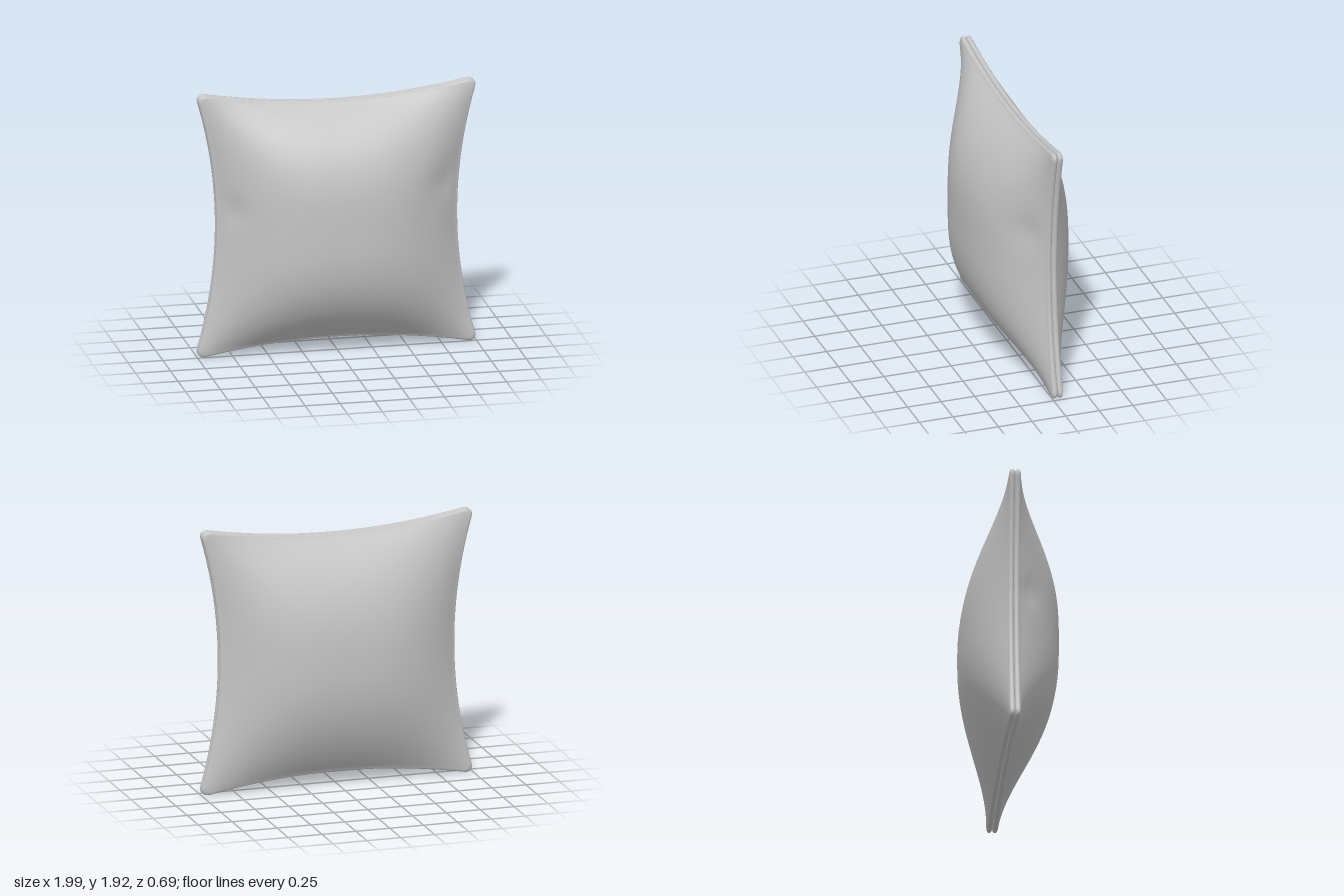
import * as THREE from 'three';

const SEAM_Z = -0.035, LIP = 0.02, MID_Y = 0.965;

// Rounded unit square, counter-clockwise, as [u, v] pairs
function perimeter() {
  const r = 0.075, c = 1 - r, arc = 8, side = 32, pts = [];
  for (let k = 0; k < 4; k++) {
    const rot = (u, v) => {
      for (let i = 0; i < k; i++) [u, v] = [-v, u];
      pts.push([u, v]);
    };
    for (let i = 0; i < side; i++) rot(1, -c + (2 * c * i) / side);
    for (let i = 0; i < arc; i++) {
      const a = (i / arc) * Math.PI / 2;
      rot(c + r * Math.cos(a), c + r * Math.sin(a));
    }
  }
  return pts;
}

// One stuffed half: domed panel that rolls over a rounded lip into the seam
function halfCushion({ dir, bulge, pu, pv, dents }) {
  const loop = perimeter(), n = loop.length, rings = [];
  const panel = 36, roll = 8;
  for (let i = 1; i <= panel; i++) {
    const s = i / panel;
    rings.push({ t: (1 - LIP) * s, s, lift: 2 * LIP });
  }
  for (let i = 1; i <= roll; i++) {
    const a = Math.PI / 2 - (i / roll) * Math.PI;
    rings.push({ t: 1 - LIP + LIP * Math.cos(a), s: 1, lift: LIP + LIP * Math.sin(a), rim: true });
  }

  const pos = [], idx = [];
  const add = (u, v, fill, lift) => {
    // pincushion outline: sides draw in towards their middles
    const x = u * (0.865 + 0.15 * v * v), y = v * (0.87 + 0.105 * u * u);
    let h = bulge * fill;
    for (const [dx, dy, w, depth] of dents) {
      h -= depth * Math.min(1, fill * 4) * Math.exp(-((x - dx) ** 2 + (y - dy) ** 2) / (w * w));
    }
    pos.push(x, y + MID_Y, SEAM_Z + dir * (lift + h));
  };

  add(0, 0, 1, 2 * LIP);
  for (const { t, s, lift, rim } of rings) {
    for (const [u, v] of loop) {
      const fill = rim ? 0 : (1 - Math.abs(u * s) ** pu) * (1 - Math.abs(v * s) ** pv);
      add(u * t, v * t, fill, lift);
    }
  }

  const tri = (a, b, c) => (dir > 0 ? idx.push(a, b, c) : idx.push(a, c, b));
  for (let j = 0; j < n; j++) {
    const k = (j + 1) % n;
    tri(0, 1 + j, 1 + k);
    for (let i = 0; i < rings.length - 1; i++) {
      const a = 1 + i * n, b = a + n;
      tri(a + j, b + j, b + k);
      tri(a + j, b + k, a + k);
    }
  }

  const geo = new THREE.BufferGeometry();
  geo.setAttribute('position', new THREE.Float32BufferAttribute(pos, 3));
  geo.setIndex(idx);
  geo.computeVertexNormals();
  return geo;
}

export function createModel() {
  const fabric = new THREE.MeshStandardMaterial({ color: 0xc4c4c4 });
  fabric.name = 'grey fabric';

  const group = new THREE.Group();
  group.name = 'cushion';
  const part = (name, options) => {
    const mesh = new THREE.Mesh(halfCushion(options), fabric);
    mesh.name = name;
    group.add(mesh);
  };

  // Front has soft creases beside the left and right edges
  part('frontPanel', {
    dir: 1, bulge: 0.34, pu: 2.6, pv: 3,
    dents: [[-0.77, 0.12, 0.1, 0.02], [0.75, 0.25, 0.13, 0.02]],
  });
  part('backPanel', { dir: -1, bulge: 0.275, pu: 2.7, pv: 2.4, dents: [] });
  return group;
}
